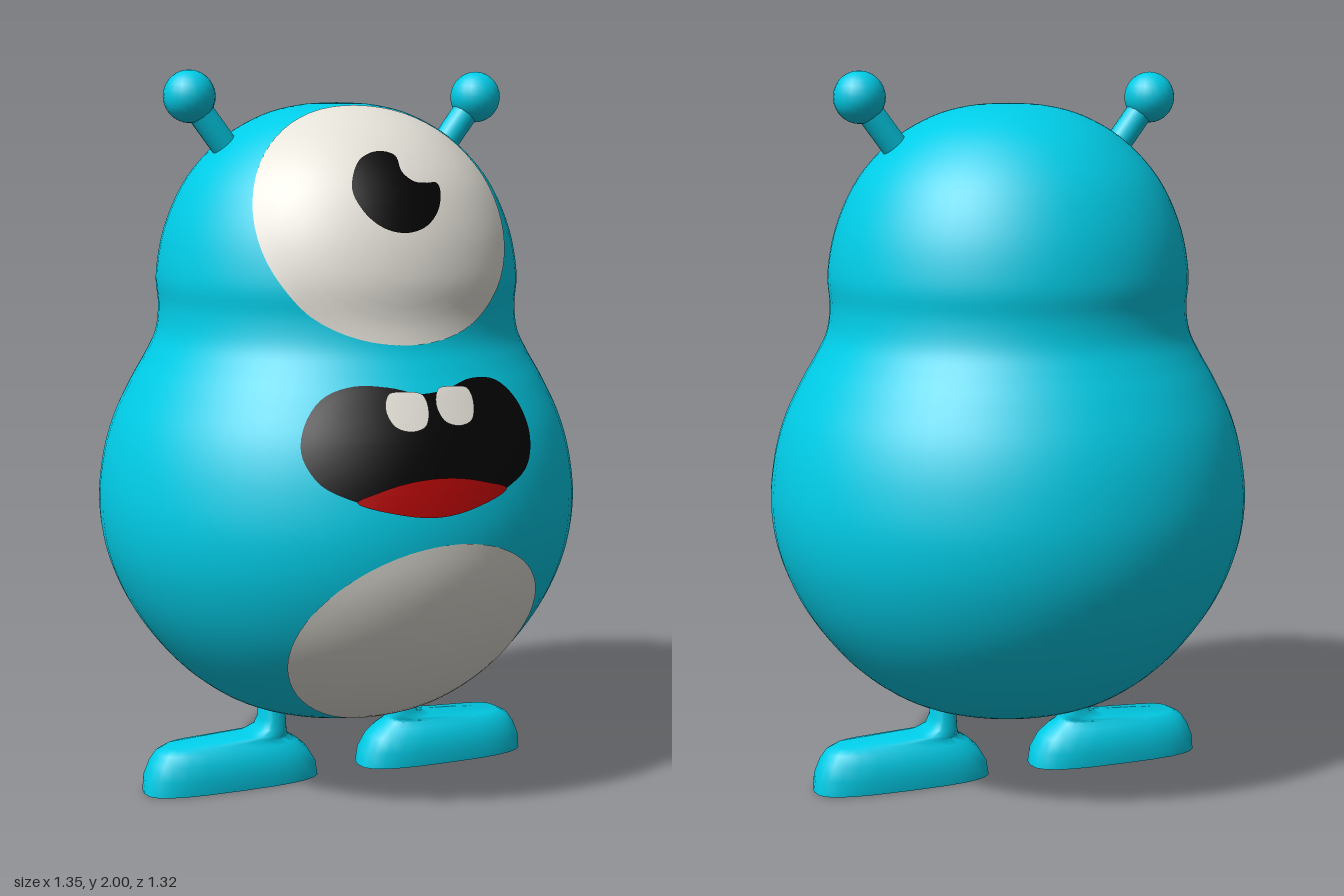
import * as THREE from 'three';
import { toCreasedNormals } from 'three/addons/utils/BufferGeometryUtils.js';

const paint = (name, color) => Object.assign(new THREE.MeshStandardMaterial({ color }), { name });
const V2 = (x, y) => new THREE.Vector2(x, y);
const V3 = (x, y, z) => new THREE.Vector3(x, y, z);

// Body profile as (radius, height); the body is slightly flatter in z
const DEPTH = 0.98;
const profile = new THREE.SplineCurve([
  [0, 0.198], [0.15, 0.204], [0.29, 0.238], [0.4, 0.302], [0.5, 0.395], [0.593, 0.525], [0.652, 0.665],
  [0.673, 0.8], [0.662, 0.93], [0.631, 1.045], [0.581, 1.15], [0.541, 1.22], [0.51, 1.285], [0.5, 1.36],
  [0.505, 1.45], [0.479, 1.58], [0.417, 1.71], [0.319, 1.815], [0.207, 1.88], [0.1, 1.908], [0, 1.914],
].map(([r, y]) => V2(r, y))).getPoints(90).map(p => V2(Math.max(0, p.x), p.y));

function radiusAt(y) {
  for (let i = 1; i < profile.length; i++) {
    const a = profile[i - 1], b = profile[i];
    if (y >= a.y && y <= b.y) return a.x + (b.x - a.x) * (y - a.y) / Math.max(b.y - a.y, 1e-6);
  }
  return -1;
}
const inside = p => Math.hypot(p.x, p.z / DEPTH) < radiusAt(p.y);

// Thin painted patch: a counter-clockwise outline around a centre, projected along dir onto the body
function patch(outline, center, dir, lift) {
  const d = dir.clone().normalize(), u = V3(1, 0, 0), v = d.clone().cross(u);
  const rings = 12, n = outline.length, pos = [], index = [];
  const add = (a, b) => {
    const start = center.clone().addScaledVector(u, a).addScaledVector(v, b);
    let lo = -0.2, hi = 0.9;
    for (let k = 0; k < 26; k++) {
      const mid = (lo + hi) / 2;
      if (inside(start.clone().addScaledVector(d, mid))) lo = mid; else hi = mid;
    }
    pos.push(...start.addScaledVector(d, lo + lift).toArray());
  };
  add(0, 0);
  for (let r = 1; r <= rings; r++) for (const p of outline) add(p.x * r / rings, p.y * r / rings);
  for (let i = 0; i < n; i++) {
    const j = (i + 1) % n;
    index.push(0, 1 + i, 1 + j);
    for (let r = 0; r < rings - 1; r++) {
      const a = 1 + r * n, b = a + n;
      index.push(a + i, b + i, b + j, a + i, b + j, a + j);
    }
  }
  const g = new THREE.BufferGeometry();
  g.setAttribute('position', new THREE.Float32BufferAttribute(pos, 3));
  g.setIndex(index);
  g.computeVertexNormals();
  return g;
}
const oval = (rx, ry) => new THREE.EllipseCurve(0, 0, rx, ry).getPoints(64).slice(0, -1);

// Patch seen straight from the front, with its outline given in x and y
function frontPatch(points, cx, cy, lift) {
  const curve = new THREE.CatmullRomCurve3(points.map(([x, y]) => V3(x - cx, y - cy, 0)), true, 'centripetal');
  return patch(curve.getPoints(80).slice(0, -1), V3(cx, cy, 0), V3(0, 0, 1), lift);
}

// Foot and ankle lofted from horizontal layers [y, xMin, xMax, halfDepth]
function footGeometry() {
  const layers = [
    [0, 0.068, 0.585, 0.088], [0.045, 0.076, 0.58, 0.094], [0.085, 0.1, 0.564, 0.087],
    [0.112, 0.13, 0.545, 0.076], [0.127, 0.155, 0.515, 0.064], [0.137, 0.162, 0.29, 0.058],
    [0.153, 0.166, 0.247, 0.056], [0.18, 0.168, 0.234, 0.055], [0.27, 0.168, 0.234, 0.055],
  ];
  const n = 24, pos = [], index = [];
  const soft = t => Math.sign(t) * Math.abs(t) ** 0.68;
  for (const [y, x0, x1, hz] of layers) for (let i = 0; i < n; i++) {
    const a = i / n * Math.PI * 2;
    pos.push((x0 + x1) / 2 + (x1 - x0) / 2 * soft(Math.cos(a)), y, hz * soft(Math.sin(a)));
  }
  const sole = pos.length / 3;
  pos.push(0.33, 0, 0);
  for (let i = 0; i < n; i++) {
    const j = (i + 1) % n;
    index.push(sole, i, j);
    for (let k = 0; k < layers.length - 1; k++) {
      const a = k * n, b = a + n;
      index.push(a + i, b + i, b + j, a + i, b + j, a + j);
    }
  }
  const g = new THREE.BufferGeometry();
  g.setAttribute('position', new THREE.Float32BufferAttribute(pos, 3));
  g.setIndex(index);
  return toCreasedNormals(g, 1.2);
}

export function createModel() {
  const skin = paint('turquoise skin', 0x00cfea), white = paint('off white', 0xe6e3da);
  const black = paint('black', 0x030303), red = paint('tongue red', 0xb60606);
  const model = new THREE.Group();
  model.name = 'oneEyedMonster';
  const add = (name, geometry, material, parent = model) => {
    const mesh = new THREE.Mesh(geometry, material);
    mesh.name = name;
    parent.add(mesh);
    return mesh;
  };

  // Pear-shaped body
  const body = new THREE.LatheGeometry(profile, 64);
  body.scale(1, 1, DEPTH);
  add('body', body, skin);

  // Eye and belly discs
  add('eye', patch(oval(0.358, 0.361), V3(0, 1.595, 0.305), V3(0, 0.35, 0.62), 0.003), white);
  add('belly', patch(oval(0.36, 0.343), V3(0.032, 0.51, 0.465), V3(0, -0.39, 0.56), 0.003), white);

  // Pupil with a bite-shaped highlight
  add('pupil', frontPatch([
    [0.015, 1.775], [-0.03, 1.787], [-0.09, 1.762], [-0.127, 1.69], [-0.105, 1.63], [-0.06, 1.592], [0, 1.58],
    [0.06, 1.597], [0.105, 1.64], [0.122, 1.69], [0.115, 1.705], [0.085, 1.705], [0.045, 1.71], [0.018, 1.735],
  ], -0.02, 1.67, 0.007), black);

  // Mouth, tongue and two teeth
  add('mouth', frontPatch([
    [0.336, 1.04], [0.316, 1.125], [0.25, 1.188], [0.16, 1.2], [0.08, 1.18], [0, 1.172], [-0.08, 1.19],
    [-0.17, 1.195], [-0.25, 1.167], [-0.305, 1.1], [-0.322, 1.03], [-0.287, 0.958], [-0.2, 0.913],
    [-0.1, 0.881], [0.01, 0.868], [0.12, 0.884], [0.22, 0.918], [0.307, 0.966],
  ], 0, 1.04, 0.003), black);
  add('tongue', frontPatch([
    [0.222, 0.92], [0.15, 0.945], [0.08, 0.96], [0, 0.965], [-0.08, 0.957], [-0.15, 0.938], [-0.205, 0.914],
    [-0.1, 0.88], [0.01, 0.867], [0.12, 0.883],
  ], 0.01, 0.915, 0.007), red);
  for (const [name, x, y] of [['rightTooth', -0.046, 1.133], ['leftTooth', 0.094, 1.14]]) {
    add(name, frontPatch([
      [x + 0.058, y + 0.005], [x + 0.048, y + 0.038], [x, y + 0.046], [x - 0.042, y + 0.042], [x - 0.058, y + 0.005],
      [x - 0.042, y - 0.036], [x, y - 0.05], [x + 0.042, y - 0.038],
    ], x, y, 0.007), white);
  }

  // Antennae and feet, mirrored left and right
  for (const [side, s] of [['left', 1], ['right', -1]]) {
    const antenna = new THREE.Group();
    antenna.name = side + 'Antenna';
    model.add(antenna);
    const stalk = new THREE.LineCurve3(V3(s * 0.29, 1.745, 0), V3(s * 0.43, 1.93, 0));
    add('stalk', new THREE.TubeGeometry(stalk, 1, 0.037, 16), skin, antenna);
    add('ball', new THREE.SphereGeometry(0.071, 20, 14), skin, antenna).position.set(s * 0.428, 1.929, 0);
    const foot = add(side + 'Foot', footGeometry(), skin);
    if (s < 0) foot.rotation.y = Math.PI;
  }
  return model;
}
